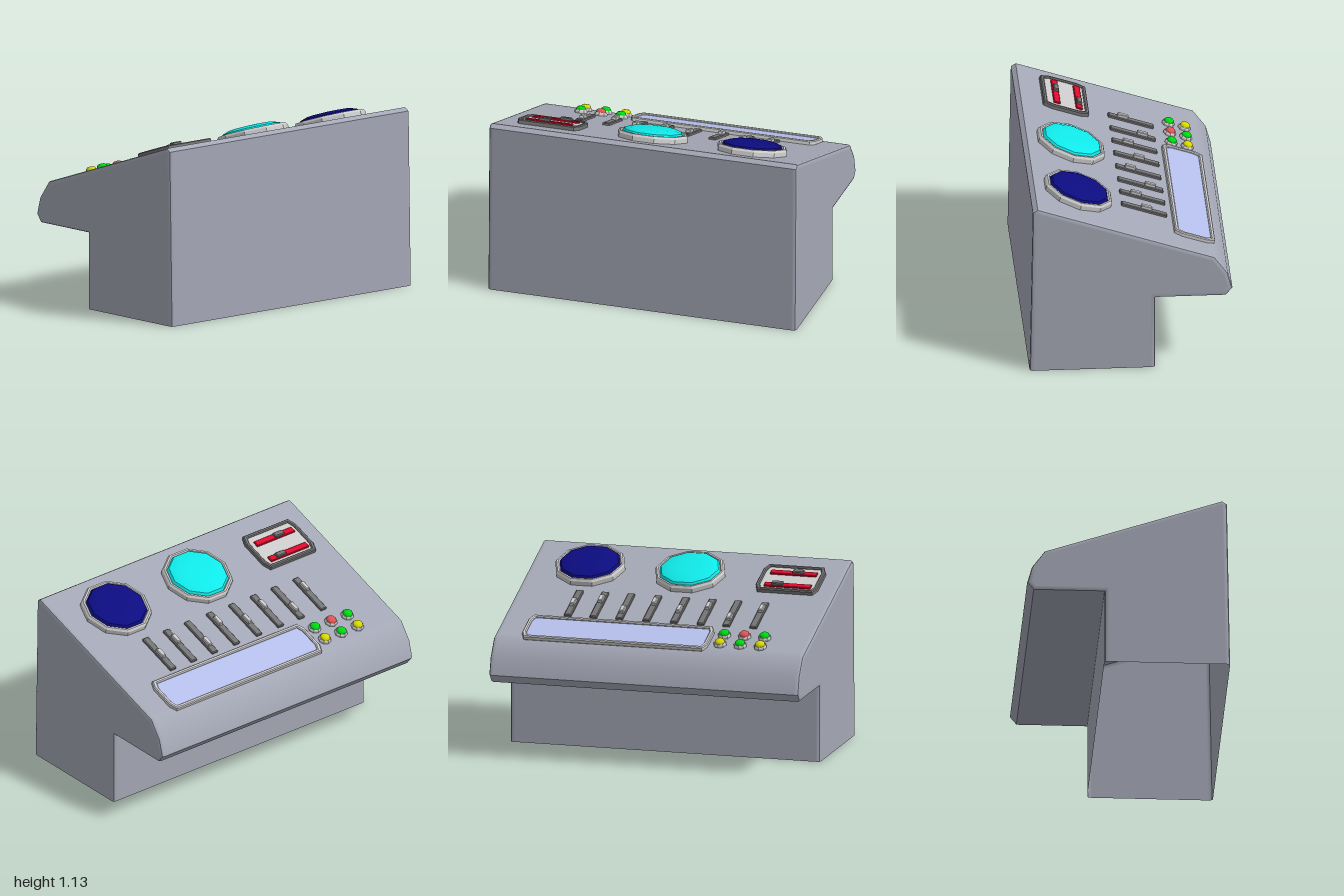
import * as THREE from 'three';
import { toCreasedNormals } from 'three/addons/utils/BufferGeometryUtils.js';

const mat = (color, side = THREE.FrontSide) => new THREE.MeshStandardMaterial({ color, side });
const M = {
  body: mat(0xa4a7b5, THREE.DoubleSide), grey: mat(0xcccccc), dark: mat(0x747474), plate: mat(0xcccccc),
  screen: mat(0xb4bfea), cyan: mat(0x10e8e8), navy: mat(0x0c0c80), red: mat(0xe00a2c),
  yellow: mat(0xd8d800), green: mat(0x00d814), coral: mat(0xe05555),
};

function add(parent, name, geo, material, x = 0, y = 0, z = 0) {
  const mesh = new THREE.Mesh(geo, material);
  mesh.name = name;
  mesh.position.set(x, y, z);
  parent.add(mesh);
  return mesh;
}

// Slope of the control surface
const RISE = 0.37 / 1.1, TILT = Math.atan(RISE), COS = Math.cos(TILT);

// Side outline as [z, y], from the front foot over the top to the back foot
const OUTLINE = [
  [0.63, 0], [0.61, 1.1], [0.58, 1.12], [0.55, 1.11], [-0.48, 0.7635], [-0.52, 0.75],
  [-0.6, 0.64], [-0.63, 0.53], [-0.59, 0.48], [-0.15, 0.48], [-0.15, 0],
];

// Outline moved inwards by d; the feet stay on the ground
function inset(d) {
  const dir = (a, b) => new THREE.Vector2(b[0] - a[0], b[1] - a[1]).normalize();
  const last = OUTLINE.length - 1;
  return OUTLINE.map((p, i) => {
    if (i === 0) return new THREE.Vector2(p[0] - d, 0);
    if (i === last) return new THREE.Vector2(p[0] + d, 0);
    const u = dir(OUTLINE[i - 1], p), v = dir(p, OUTLINE[i + 1]);
    const k = d / (1 + u.dot(v));
    return new THREE.Vector2(p[0] - (u.y + v.y) * k, p[1] + (u.x + v.x) * k);
  });
}

// Hollow housing, open underneath, with softened side edges
function housingGeometry() {
  const half = [[-1, 0.03], [-1, 0.018], [-0.994, 0.005], [-0.982, 0], [-0.97, 0]];
  const rows = [...half, ...half.map(([x, d]) => [-x, d]).reverse()]
    .map(([x, d]) => inset(d).map((p) => new THREE.Vector3(x, p.y, p.x)));
  const pos = [];
  const tri = (...v) => v.forEach((p) => pos.push(p.x, p.y, p.z));
  for (let r = 0; r < rows.length - 1; r++) {
    for (let i = 0; i < OUTLINE.length - 1; i++) {
      const a = rows[r][i], b = rows[r + 1][i], c = rows[r + 1][i + 1], d = rows[r][i + 1];
      tri(a, b, c);
      tri(a, c, d);
    }
  }
  const right = rows[0], left = rows[rows.length - 1];
  for (const [a, b, c] of THREE.ShapeUtils.triangulateShape(inset(0.03), [])) {
    tri(right[a], right[b], right[c]);
    tri(left[a], left[c], left[b]);
  }
  const geo = new THREE.BufferGeometry();
  geo.setAttribute('position', new THREE.Float32BufferAttribute(pos, 3));
  return toCreasedNormals(geo, 0.65);
}

// Rectangle with cut corners
function cutRect(Type, w, d, cx, cz) {
  const x = w / 2, z = d / 2;
  return new Type([
    [x - cx, -z], [x, cz - z], [x, z - cz], [x - cx, z],
    [cx - x, z], [-x, z - cz], [-x, cz - z], [cx - x, -z],
  ].map((p) => new THREE.Vector2(...p)));
}

// Flat bevelled slab or frame lying on the panel
function slab(w, d, h, cx, cz, border = 0, bevel = 0.006) {
  const shape = cutRect(THREE.Shape, w, d, cx, cz);
  if (border) shape.holes.push(cutRect(THREE.Path, w - 2 * border, d - 2 * border, cx * 0.7, cz * 0.8));
  const geo = new THREE.ExtrudeGeometry(shape, {
    depth: h - bevel, bevelEnabled: true, bevelThickness: bevel, bevelSize: bevel,
    bevelOffset: -bevel, bevelSegments: 1, curveSegments: 1,
  });
  return geo.rotateX(-Math.PI / 2);
}

const lathe = (pts, sides, crease) => toCreasedNormals(
  new THREE.LatheGeometry(pts.map((p) => new THREE.Vector2(...p)), sides).rotateY(Math.PI / 2), crease);

function group(parent, name, x = 0, z = 0) {
  const g = new THREE.Group();
  g.name = name;
  g.position.set(x, 0, z);
  parent.add(g);
  return g;
}

export function createModel() {
  const model = new THREE.Group();
  model.name = 'controlConsole';
  add(model, 'housing', housingGeometry(), M.body);

  // Everything on the sloping surface is placed in its own tilted frame
  const panel = group(model, 'controlPanel');
  panel.position.y = 0.925;
  panel.rotation.x = -TILT;

  // Round ten-sided dials
  const rim = lathe([[0.225, -0.005], [0.225, 0.028], [0.215, 0.042], [0.203, 0.042], [0.194, 0.03]], 10, 0.5);
  const dome = lathe([[0.198, 0.028], [0.185, 0.05], [0.14, 0.066], [0.07, 0.07], [0, 0.071]], 10, 0.7);
  for (const [name, x, m] of [['cyanDial', -0.03, M.cyan], ['navyDial', 0.615, M.navy]]) {
    const dial = group(panel, name, x, 0.325);
    add(dial, 'dialRim', rim, M.grey);
    add(dial, 'dialDome', dome, m);
  }

  // Long display
  const display = group(panel, 'display', 0.228, -0.427);
  add(display, 'displayFrame', slab(1.195, 0.262, 0.026, 0.022, 0.05, 0.025), M.grey);
  add(display, 'displayScreen', new THREE.BoxGeometry(1.15, 0.015, 0.216), M.screen, 0, 0.0075, 0);

  // Two rows of push buttons
  const collar = lathe([[0.041, -0.003], [0.041, 0.012], [0.035, 0.02], [0.028, 0.02]], 8, 0.5);
  const cap = lathe([[0.033, 0.015], [0.031, 0.03], [0.02, 0.04], [0, 0.042]], 8, 0.8);
  const colors = [[M.yellow, M.green, M.yellow], [M.green, M.coral, M.green]];
  colors.forEach((row, r) => row.forEach((m, c) => {
    const button = group(panel, 'button', -0.7 + c * 0.13, (-0.455 + r * 0.1) / COS + 0.01);
    add(button, 'buttonCollar', collar, M.grey);
    add(button, 'buttonCap', cap, m);
  }));

  // Row of sliders
  const track = slab(0.046, 0.296, 0.016, 0.003, 0.003, 0, 0.005);
  const knob = slab(0.03, 0.07, 0.022, 0.002, 0.002, 0, 0.005);
  const knobZ = [-0.06, -0.17, -0.07, -0.125];
  [-0.595, -0.42, -0.255, -0.083, 0.095, 0.27, 0.437, 0.602].forEach((x, i) => {
    const slider = group(panel, 'slider', x, -0.111);
    add(slider, 'sliderTrack', track, M.dark);
    add(slider, 'sliderKnob', knob, M.grey, 0, 0.015, knobZ[i % 4] / COS + 0.121);
  });

  // Framed box with two red cross sliders
  const box = group(panel, 'crossSliderBox', -0.68, 0.32);
  add(box, 'boxFrame', slab(0.4, 0.296, 0.028, 0.022, 0.055, 0.024), M.dark);
  add(box, 'boxPlate', slab(0.365, 0.262, 0.018, 0.018, 0.045, 0, 0.003), M.plate);
  for (const [z, x] of [[-0.086, 0.06], [0.06, -0.035]]) {
    add(box, 'redTrack', slab(0.3, 0.043, 0.012, 0.003, 0.003, 0, 0.004), M.red, -0.005, 0.017, z);
    add(box, 'crossKnob', slab(0.07, 0.034, 0.022, 0.002, 0.002, 0, 0.005), M.dark, x, 0.024, z);
  }
  return model;
}
